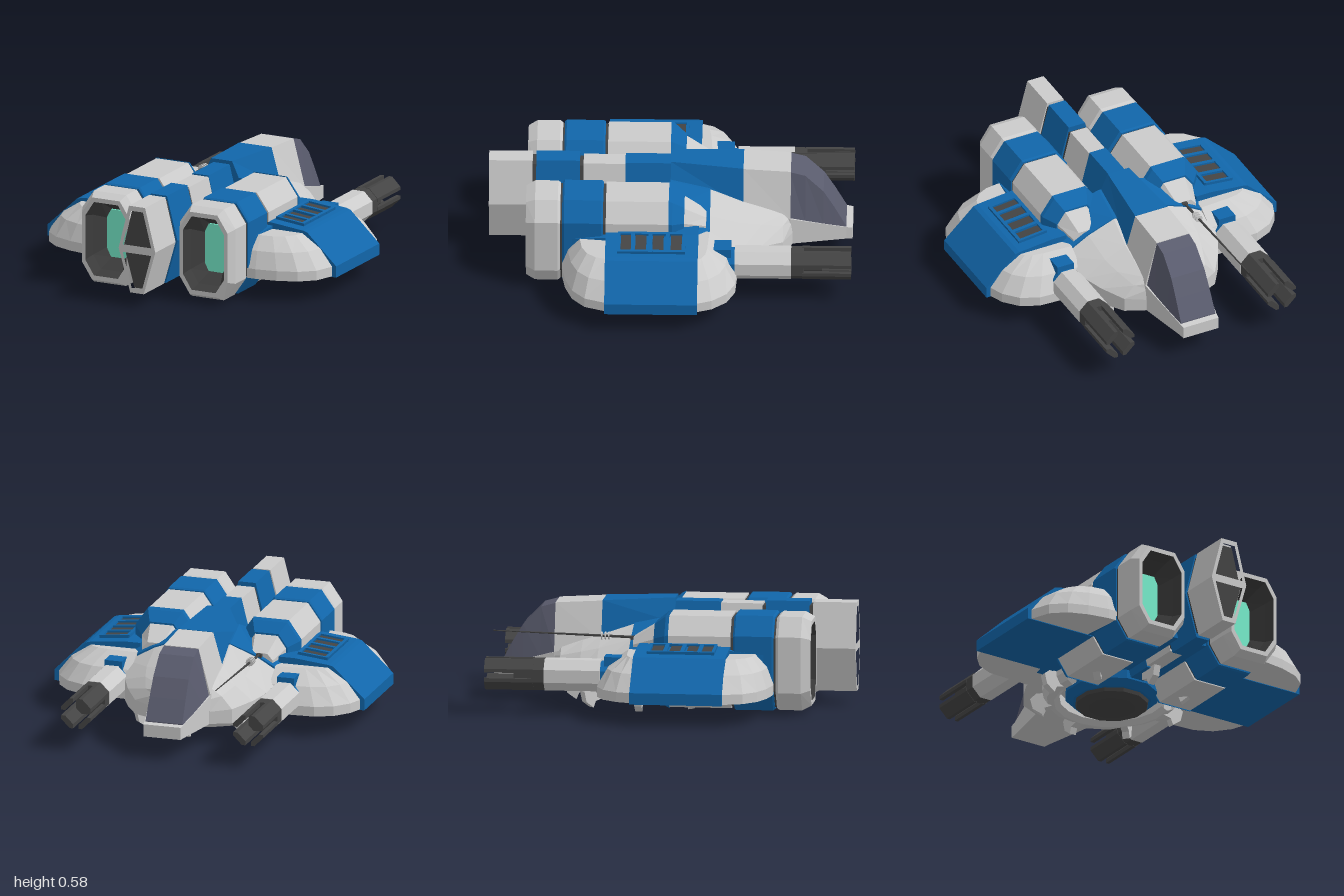
import * as THREE from 'three';

const mat = (color, side = THREE.FrontSide) =>
  new THREE.MeshStandardMaterial({ color, flatShading: true, side });
const GREY = mat(0xcccccc), BLUE = mat(0x1166aa), DARK = mat(0x444444);
const GLASS = mat(0x5a5c6e), GLOW = mat(0x77eecc);
const GREY2 = mat(0xcccccc, THREE.DoubleSide), DARK2 = mat(0x3c3c3c, THREE.DoubleSide);

export function createModel() {
  const model = new THREE.Group();

  const add = (name, geo, material, x = 0, y = 0, z = 0) => {
    const m = new THREE.Mesh(geo, material);
    m.name = name;
    m.position.set(x, y, z);
    model.add(m);
    return m;
  };

  // Skin a list of equal-length rings of [x, y, z]; faces are turned outward by volume
  const loft = (name, material, rings, caps = [true, true]) => {
    const tris = [], n = rings[0].length;
    for (let r = 0; r < rings.length - 1; r++)
      for (let i = 0; i < n; i++) {
        const j = (i + 1) % n, a = rings[r], b = rings[r + 1];
        tris.push([a[i], a[j], b[j]], [a[i], b[j], b[i]]);
      }
    const end = rings[rings.length - 1];
    for (let i = 1; i < n - 1; i++) {
      if (caps[0]) tris.push([rings[0][0], rings[0][i + 1], rings[0][i]]);
      if (caps[1]) tris.push([end[0], end[i], end[i + 1]]);
    }
    const v = (p) => new THREE.Vector3(...p);
    let vol = 0;
    for (const [a, b, c] of tris) vol += v(a).dot(v(b).cross(v(c)));
    const pos = tris.flatMap(([a, b, c]) => (vol < 0 ? [...a, ...c, ...b] : [...a, ...b, ...c]));
    const geo = new THREE.BufferGeometry();
    geo.setAttribute('position', new THREE.Float32BufferAttribute(pos, 3));
    geo.computeVertexNormals();
    return add(name, geo, material);
  };

  const extrude = (pts, depth, holes = []) => {
    const s = new THREE.Shape(pts.map((p) => new THREE.Vector2(...p)));
    for (const h of holes) s.holes.push(new THREE.Path(h.map((p) => new THREE.Vector2(...p))));
    return new THREE.ExtrudeGeometry(s, { depth, bevelEnabled: false });
  };
  const mirrorX = (pts) => [...pts, ...pts.map(([x, ...r]) => [-x, ...r]).reverse()];

  // Tall octagon with cut corners
  const oct = (cx, cy, w, h, z, cutX = w * 0.42, cutY = h * 0.4) => [
    [w, h - cutY], [w - cutX, h], [-w + cutX, h], [-w, h - cutY],
    [-w, cutY - h], [-w + cutX, -h], [w - cutX, -h], [w, cutY - h],
  ].map(([x, y]) => [cx + x, cy + y, z]);

  // Central hull
  const hullRing = (z, x0, y0, x1, y1) =>
    mirrorX([[x0, y0, z], [(x0 + x1) / 2, (y0 + y1) / 2 + 0.015, z], [x1, y1, z], [x1, 0.13, z]]);
  loft('foreHull', GREY, [
    hullRing(-0.67, 0.13, 0.3, 0.17, 0.2), hullRing(-0.62, 0.16, 0.32, 0.28, 0.21),
    hullRing(-0.5, 0.16, 0.36, 0.36, 0.23), hullRing(-0.4, 0.16, 0.39, 0.41, 0.25),
    hullRing(-0.22, 0.14, 0.45, 0.455, 0.3)]);
  loft('hullCollar', BLUE, [
    hullRing(-0.22, 0.14, 0.455, 0.46, 0.31), hullRing(0, 0.12, 0.5, 0.5, 0.38)]);
  loft('midHull', BLUE, [
    hullRing(0, 0.1, 0.38, 0.5, 0.38), hullRing(0.35, 0.1, 0.36, 0.5, 0.37),
    hullRing(0.58, 0.1, 0.25, 0.475, 0.34)]);

  // Ridge, nose and canopy
  const ridgeRing = (z, xt, yt, xb, yb) => mirrorX([[xt, yt, z], [xb, yb, z], [xb, 0.2, z]]);
  loft('ridgeRear', BLUE, [ridgeRing(0, 0.065, 0.59, 0.125, 0.46), ridgeRing(-0.4, 0.1, 0.572, 0.16, 0.36)]);
  loft('ridgeFront', GREY, [ridgeRing(-0.4, 0.1, 0.57, 0.16, 0.36), ridgeRing(-0.66, 0.1, 0.555, 0.17, 0.29)]);
  const glassRing = (z, y, xt, xb, yb) => mirrorX([[xt, y, z], [xb, yb, z]]);
  loft('canopy', GLASS, [
    glassRing(-0.655, 0.553, 0.1, 0.163, 0.28), glassRing(-0.74, 0.53, 0.1, 0.15, 0.26),
    glassRing(-0.84, 0.43, 0.102, 0.133, 0.235), glassRing(-0.9, 0.33, 0.104, 0.121, 0.22),
    glassRing(-0.965, 0.21, 0.106, 0.108, 0.2)]);
  loft('nose', GREY, [
    glassRing(-0.6, 0.3, 0.17, 0.17, 0.13), glassRing(-0.66, 0.29, 0.17, 0.17, 0.13),
    glassRing(-0.965, 0.205, 0.112, 0.112, 0.13), glassRing(-1, 0.2, 0.108, 0.108, 0.13)]);

  // Spine segments
  const hex = (k) => mirrorX([[0.05, 0.33 + 0.25 * k], [0.115 * k, 0.33], [0.042, 0.33 - 0.25 * k]]);
  [[0, 0.25, 0.96, BLUE], [0.25, 0.48, 0.93, GREY], [0.48, 0.5, 0.88, DARK], [0.5, 0.74, 1, BLUE],
    [0.74, 0.76, 0.9, DARK], [0.76, 0.94, 0.99, GREY]].forEach(([a, b, k, m]) =>
    add('spineSegment', extrude(hex(k), b - a), m, 0, 0, a));
  add('tailFrame', extrude(hex(0.99), 0.06, [
    mirrorX([[0.037, 0.55], [0.088, 0.352]]), mirrorX([[0.088, 0.308], [0.033, 0.11]])]), GREY, 0, 0, 0.94);
  add('tailRecess', extrude(hex(0.93), 0.01), DARK, 0, 0, 0.94);

  // Antenna with small cross rings
  const mast = add('antenna', new THREE.CylinderGeometry(0.003, 0.008, 0.8, 6), DARK, -0.303, 0.415, -0.58);
  mast.rotation.x = -Math.PI / 2 + 0.03;
  [-0.34, -0.36, -0.38].forEach((z) =>
    add('antennaRing', new THREE.CylinderGeometry(0.022, 0.022, 0.007, 8), GREY, -0.303, 0.41, z).rotation.x = Math.PI / 2);
  add('antennaBase', new THREE.BoxGeometry(0.03, 0.03, 0.06), DARK, -0.303, 0.395, -0.19);

  for (const s of [1, -1]) {
    // Engine pod
    const ex = 0.303 * s, ey = 0.29;
    const pod = (name, m, list) => loft(name, m, list.map(([z, w, h]) => oct(ex, ey, w, h, z)));
    pod('engineBody', GREY, [[0, 0.172, 0.255], [0.35, 0.172, 0.255]]);
    pod('engineGroove', DARK, [[0.35, 0.165, 0.245], [0.37, 0.165, 0.245]]);
    pod('engineBand', BLUE, [[0.365, 0.172, 0.255], [0.375, 0.177, 0.263], [0.58, 0.177, 0.263], [0.59, 0.172, 0.255]]);
    pod('engineGroove', DARK, [[0.59, 0.165, 0.245], [0.605, 0.165, 0.245]]);
    loft('engineIntake', BLUE, [oct(ex, ey, 0.174, 0.26, 0.005), oct(ex, ey, 0.172, 0.25, -0.015),
      oct(ex, 0.31, 0.12, 0.18, -0.08)]);
    loft('engineCap', GREY, [oct(ex, 0.31, 0.12, 0.18, -0.06), oct(ex, 0.31, 0.11, 0.165, -0.09),
      oct(ex, 0.32, 0.075, 0.09, -0.2)]);
    loft('nozzle', GREY, [[0.6, 0.165, 0.25], [0.615, 0.172, 0.26], [0.74, 0.172, 0.26],
      [0.79, 0.148, 0.235], [0.79, 0.128, 0.21]].map(([z, w, h]) => oct(ex, ey, w, h, z)), [true, false]);
    loft('nozzleInside', DARK2, [oct(ex, ey, 0.128, 0.21, 0.79), oct(ex, ey, 0.115, 0.19, 0.72),
      oct(ex, ey, 0.068, 0.138, 0.64)], [false, false]);
    loft('engineGlow', GLOW, [oct(ex, ey, 0.068, 0.136, 0.62, 0.02, 0.03), oct(ex, ey, 0.068, 0.136, 0.645, 0.02, 0.03)]);

    // Wing: rounded grey shell
    const rim = [[0.4, 0.59], [0.52, 0.59], [0.64, 0.57], [0.75, 0.53], [0.83, 0.46], [0.87, 0.35],
      [0.87, -0.16], [0.84, -0.24], [0.77, -0.32], [0.67, -0.365], [0.4, -0.38]];
    const top = [[0.4, 0.49], [0.5, 0.49], [0.57, 0.48], [0.63, 0.45], [0.67, 0.4], [0.685, 0.35],
      [0.685, -0.16], [0.67, -0.18], [0.63, -0.2], [0.57, -0.21], [0.4, -0.22]];
    const mid = rim.map(([x, z], i) => [x * 0.6 + top[i][0] * 0.4, z * 0.65 + top[i][1] * 0.35]);
    loft('wingShell', GREY, [[rim, 0.13], [rim, 0.185], [mid, 0.28], [top, 0.352]]
      .map(([o, y]) => o.map(([x, z]) => [x * s, y, z])));

    // Wing: blue centre panel
    const panel = [[0.4, 0.126], [0.895, 0.126], [0.895, 0.19], [0.715, 0.36], [0.69, 0.367], [0.49, 0.388], [0.4, 0.388]];
    loft('wingPanel', BLUE, [-0.16, 0.35].map((z) => panel.map(([x, y]) => [x * s, y, z])));

    // Vents in a raised frame
    const tilt = -0.105 * s, vy = 0.38;
    [0.02, 0.115, 0.21].forEach((z) => add('ventBar', new THREE.BoxGeometry(0.17, 0.022, 0.022), BLUE, 0.575 * s, vy + 0.004, z - 0.012).rotation.z = tilt);
    [-0.082, 0.275].forEach((z) => add('ventFrame', new THREE.BoxGeometry(0.17, 0.022, 0.016), BLUE, 0.575 * s, vy + 0.004, z).rotation.z = tilt);
    [0.495, 0.65].forEach((x) => add('ventFrame', new THREE.BoxGeometry(0.018, 0.022, 0.37), BLUE, x * s,
      vy + 0.004 - (x - 0.575) * 0.105, 0.097).rotation.z = tilt);
    [-0.04, 0.06, 0.155, 0.235].forEach((z) => add('vent', new THREE.BoxGeometry(0.14, 0.012, 0.06), DARK, 0.575 * s, vy, z).rotation.z = tilt);

    // Cannon
    const gx = 0.498 * s, gy = 0.222;
    const barrel = (name, m, r, a, b) => {
      const g = new THREE.CylinderGeometry(r / Math.cos(Math.PI / 8), r / Math.cos(Math.PI / 8), a - b, 8, 1, false, Math.PI / 8);
      add(name, g.rotateX(Math.PI / 2), m, gx, gy, (a + b) / 2);
    };
    barrel('cannonMount', BLUE, 0.075, -0.2, -0.37);
    barrel('cannonBarrel', GREY, 0.086, -0.36, -0.67);
    barrel('cannonMuzzle', DARK, 0.084, -0.67, -0.74);
    barrel('cannonCore', DARK, 0.05, -0.74, -0.84);
    for (let i = 0; i < 4; i++) {
      const prong = extrude([[0.086, 0.016], [0.086, 0.036], [0.036, 0.086], [0.016, 0.086], [0.016, 0.062], [0.062, 0.016]], 0.27);
      add('cannonProng', prong.rotateZ(i * Math.PI / 2), DARK, gx, gy, -1);
    }
    add('cannonHood', new THREE.BoxGeometry(0.1, 0.08, 0.12), BLUE, gx, 0.29, -0.28);
  }

  // Belly turret with a guard ring and claws
  const cz = -0.165;
  const disc = (r, y) => Array.from({ length: 12 }, (_, i) => {
    const a = (i + 0.5) * Math.PI / 6;
    return [r * Math.cos(a), y, cz + r * Math.sin(a)];
  });
  loft('turretBase', BLUE, [disc(0.26, 0.14), disc(0.26, 0.08), disc(0.22, 0.045)]);
  loft('turretDish', DARK, [disc(0.21, 0.06), disc(0.2, 0.025), disc(0.15, 0.005), disc(0.13, 0.012)]);
  const ringProfile = [[0.29, 0.14], [0.29, 0.07], [0.32, 0.045], [0.36, 0.06], [0.385, 0.1], [0.385, 0.14]]
    .map((p) => new THREE.Vector2(...p));
  add('guardRing', new THREE.LatheGeometry(ringProfile, 10, Math.PI / 2 - 0.25, Math.PI + 0.5), GREY2, 0, 0, cz);
  for (let i = 0; i < 8; i++) {
    const claw = extrude([[0.33, 0.13], [0.33, 0.05], [0.375, 0.04], [0.39, 0.005], [0.44, 0.04], [0.455, 0.1], [0.42, 0.13]], 0.04);
    add('claw', claw.translate(0, 0, -0.02).rotateY(i * Math.PI / 4), GREY, 0, 0, cz);
  }
  return model;
}
